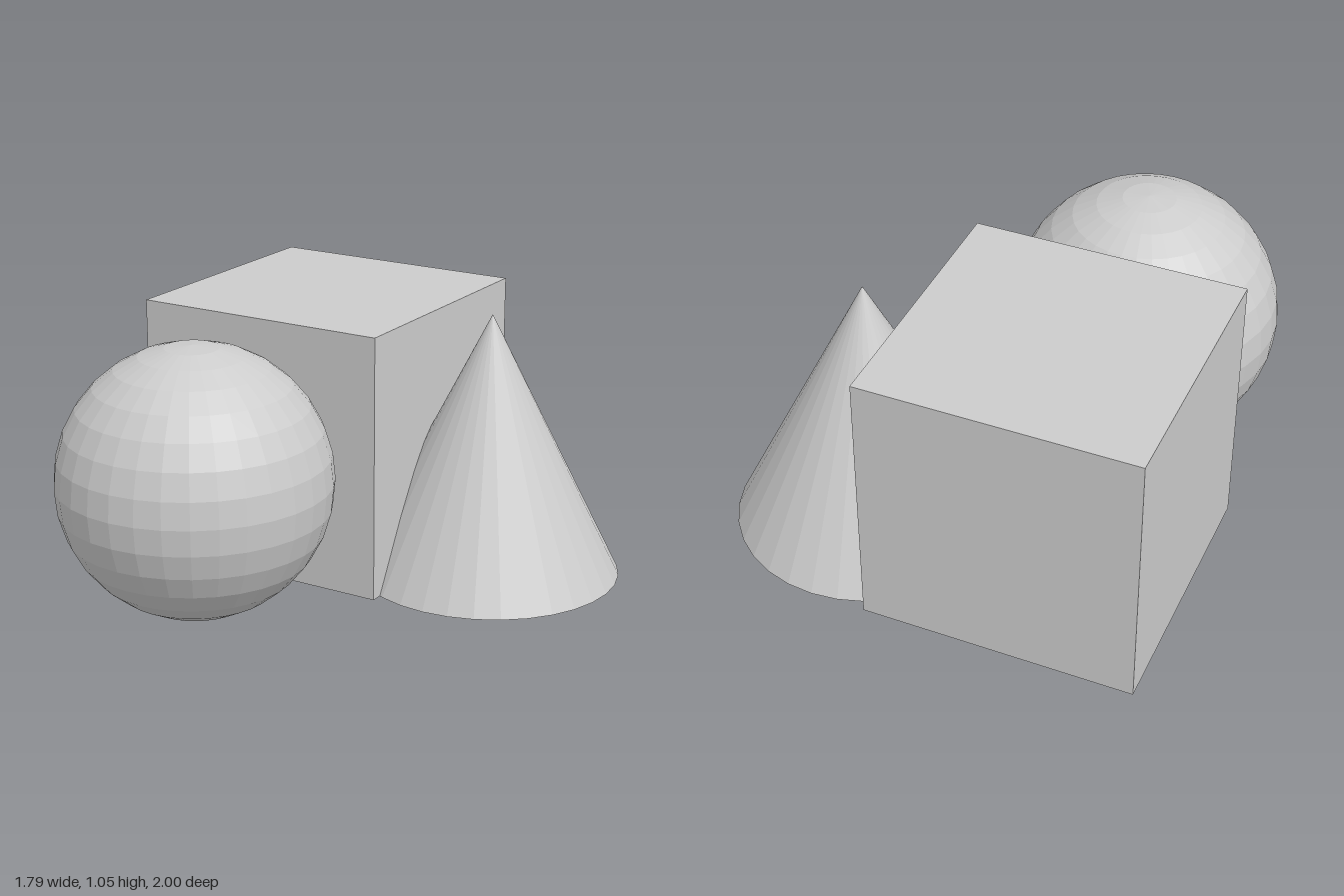
import * as THREE from 'three';

export function createModel() {
  const group = new THREE.Group();
  const grey = new THREE.MeshStandardMaterial({ color: 0xcccccc, flatShading: true });
  grey.name = 'light grey';

  const size = 1.05; // shared width, height and depth of the three solids
  const r = size / 2;
  const x = 0.37;
  const z = 1 - r;

  const add = (name, geometry, px, pz) => {
    const mesh = new THREE.Mesh(geometry, grey);
    mesh.name = name;
    mesh.position.set(px, r, pz);
    group.add(mesh);
  };

  // Cube at the back, ball in front of it, cone pushed into its side
  add('cube', new THREE.BoxGeometry(size, size, size), -x, -z);
  add('sphere', new THREE.SphereGeometry(r, 32, 16), -x, z);
  add('cone', new THREE.ConeGeometry(r, size, 32), x, -z);

  return group;
}
